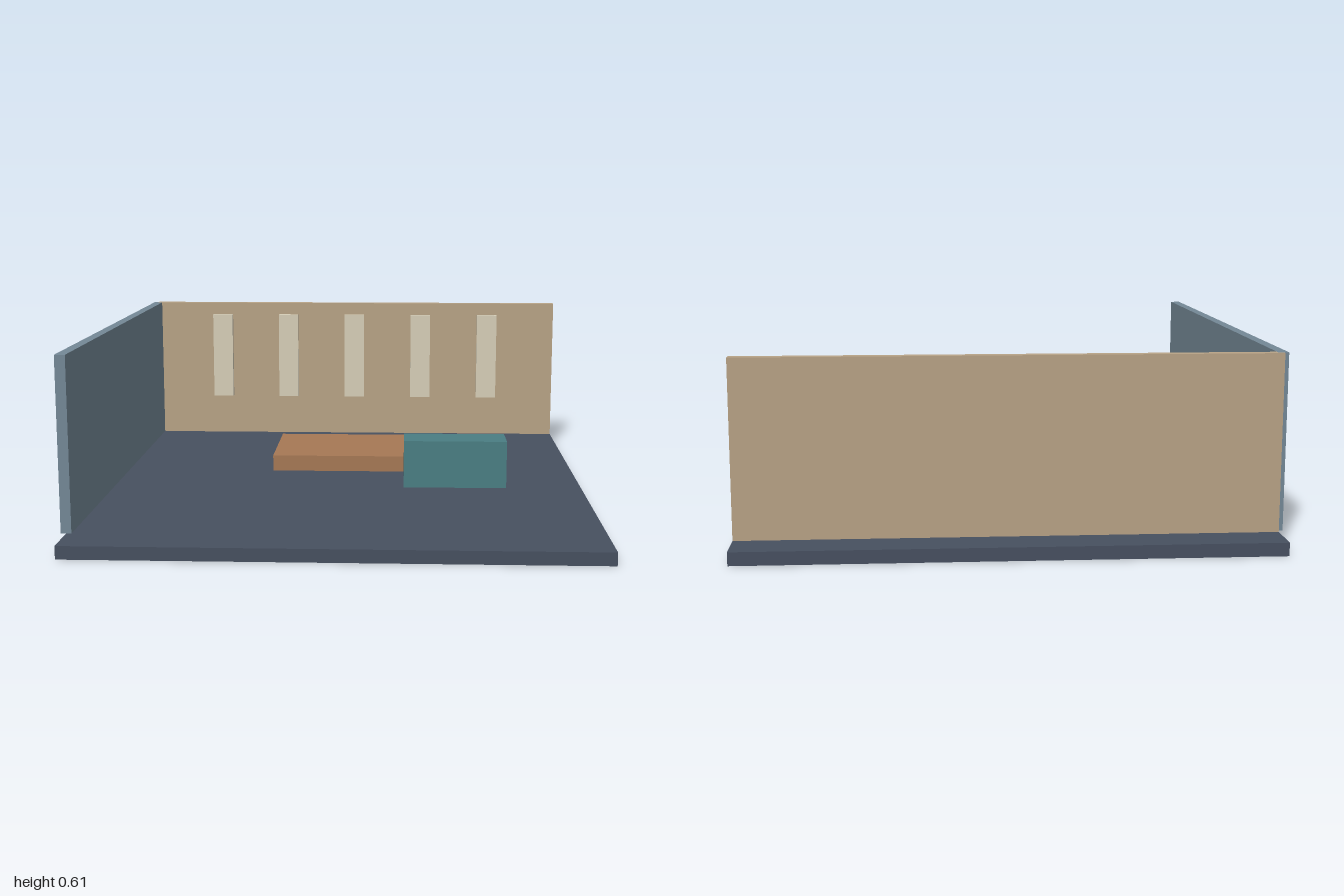
import * as THREE from 'three';

const material = (name, color) => {
  const m = new THREE.MeshStandardMaterial({ color });
  m.name = name;
  return m;
};

export function createModel() {
  const model = new THREE.Group();
  model.name = 'room';

  const slate = material('slate floor', 0x475060);
  const tan = material('tan wall', 0xb8a386);
  const blueGrey = material('blue grey wall', 0x748896);
  const cream = material('cream panel', 0xd6ceb8);
  const wood = material('brown wood', 0xa67855);
  const teal = material('teal', 0x4a7e83);

  // Axis-aligned block, placed by the centre of its base
  const block = (name, mat, [w, h, d], [x, y, z]) => {
    const mesh = new THREE.Mesh(new THREE.BoxGeometry(w, h, d), mat);
    mesh.name = name;
    mesh.position.set(x, y + h / 2, z);
    model.add(mesh);
  };

  const floorTop = 0.043;
  const midX = 0.0086; // floor centre, shifted by the side wall's overhang
  const wall = 0.0343;

  block('floor', slate, [1.7143, floorTop, 2], [midX, 0, 0]);

  // Two walls; the back one stands in from the rear edge
  block('backWall', tan, [1.7143, 0.5714, wall], [midX, floorTop, -0.857]);
  block('sideWall', blueGrey, [wall, 0.5714, 1.7143], [midX - 0.857, floorTop, 0]);

  // Row of upright panels on the back wall
  for (let i = -2; i <= 2; i++) {
    block(`wallPanel${i + 3}`, cream, [0.084, 0.357, 0.0286], [midX + i * 0.2857, 0.208, -0.8286]);
  }

  // Low platform and counter
  block('platform', wood, [0.5714, 0.059, 0.4286], [midX, floorTop, -0.2857]);
  block('counter', teal, [0.3714, 0.1714, 0.1429], [midX + 0.4, floorTop, 0.1143]);

  return model;
}
